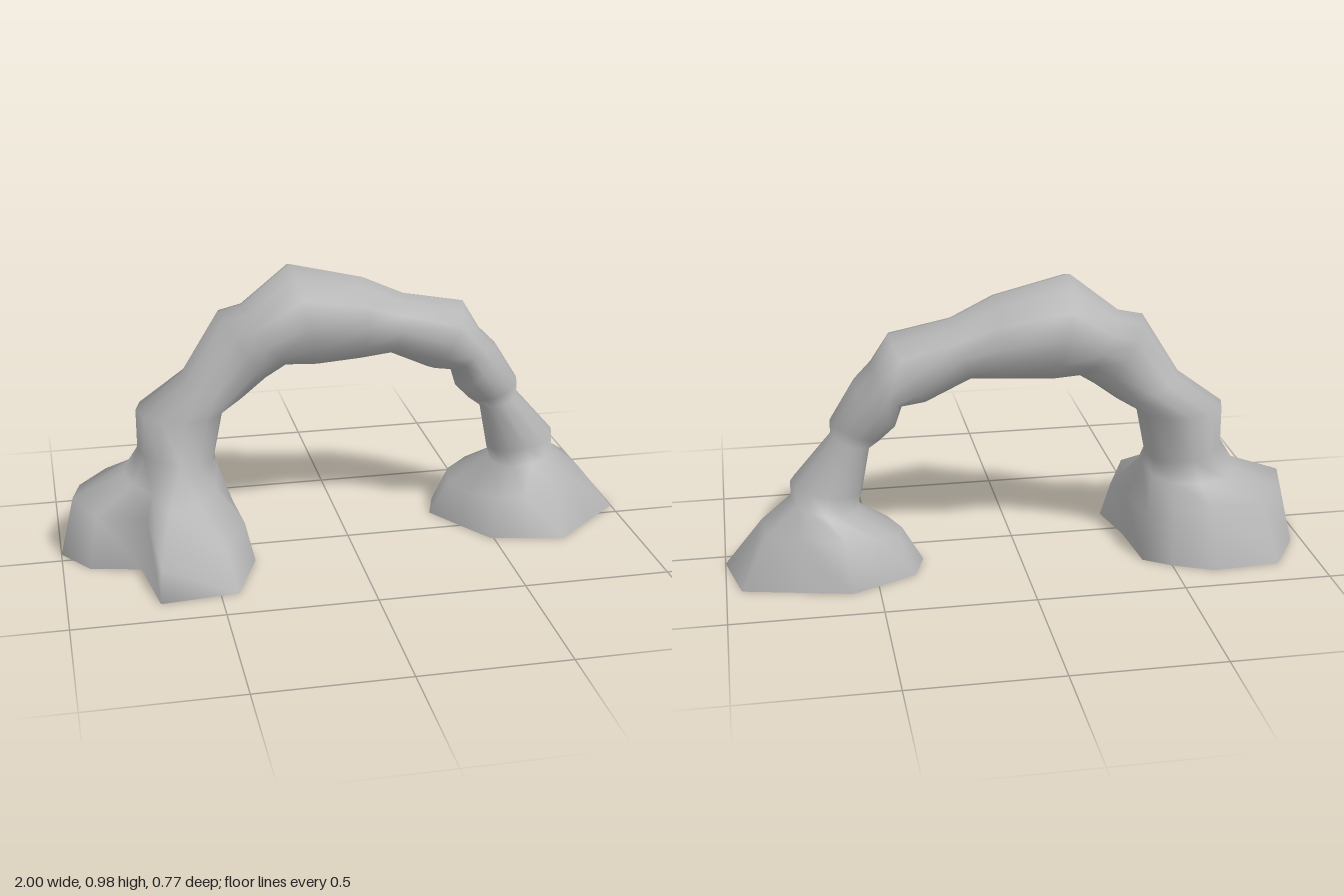
import * as THREE from 'three';

const SIDES = 12;

// Every ring runs: outer edge, front, inner edge, back.
const ring = (ox, oy, ix, iy, zBack, zFront) => Array.from({ length: SIDES }, (_, j) => {
  const a = (j / SIDES) * Math.PI * 2, c = Math.cos(a);
  return [
    (ox + ix) / 2 + (ox - ix) / 2 * c,
    (oy + iy) / 2 + (oy - iy) / 2 * c,
    (zBack + zFront) / 2 + (zFront - zBack) / 2 * Math.sin(a),
  ];
});
const ground = (outline) => outline.map(([x, z]) => [x, 0, z]);

// Two-lobed foot on the right, with a buttress reaching forward
const rightFoot = ground([
  [-1, -.05], [-.91, .08], [-.74, .12], [-.7, .385], [-.44, .36], [-.35, .13],
  [-.39, -.05], [-.41, -.27], [-.5, -.33], [-.63, -.39], [-.86, -.375], [-.96, -.21],
]);
const rightShoulder = [
  [-.95, .21, -.05], [-.88, .18, .06], [-.71, .17, .09], [-.69, .1, .34], [-.47, .13, .31], [-.38, .13, .1],
  [-.4, .15, -.05], [-.43, .15, -.25], [-.51, .17, -.29], [-.64, .2, -.32], [-.82, .2, -.31], [-.92, .2, -.18],
];
const rightNeck = [
  [-.77, .28, -.07], [-.75, .27, .02], [-.69, .25, .07], [-.64, .22, .16], [-.54, .23, .14], [-.47, .25, .05],
  [-.45, .29, -.07], [-.46, .27, -.17], [-.52, .26, -.23], [-.61, .26, -.25], [-.7, .27, -.24], [-.75, .28, -.17],
];

// Flared foot on the left
const leftShoulder = [
  [.87, .165, -.07], [.82, .16, .03], [.74, .15, .1], [.62, .14, .1], [.52, .13, .08], [.44, .12, -.02],
  [.4, .12, -.12], [.42, .13, -.22], [.5, .15, -.27], [.6, .16, -.31], [.75, .17, -.28], [.86, .17, -.22],
];
const leftFoot = ground([
  [1, -.055], [.87, .06], [.74, .175], [.62, .15], [.49, .125], [.41, 0],
  [.33, -.13], [.37, -.25], [.48, -.305], [.59, -.355], [.77, -.315], [.95, -.275],
]);

// Span: outer x, y, inner x, y, back z, front z
const span = [
  [-.72, .36, -.455, .32, -.23, .06],
  [-.72, .5, -.42, .49, -.24, .065],
  [-.56, .62, -.35, .53, -.21, .03],
  [-.43, .83, -.27, .59, -.225, .04],
  [-.35, .845, -.2, .635, -.235, .045],
  [-.18, .98, -.1, .625, -.27, .075],
  [.07, .92, .05, .635, -.24, .045],
  [.22, .85, .16, .645, -.22, .01],
  [.43, .81, .31, .575, -.24, .02],
  [.49, .71, .39, .57, -.24, .02],
  [.55, .65, .41, .5, -.235, .02],
  [.63, .52, .46, .45, -.2, 0],
  [.63, .47, .5, .42, -.18, -.02],
  [.77, .31, .53, .26, -.21, .01],
  [.77, .25, .55, .2, -.23, .02],
].map((s) => ring(...s));

// Smooth skin joined through the rings, open at both feet
function loft(rings) {
  const index = [];
  for (let i = 0; i < rings.length - 1; i++) {
    for (let j = 0; j < SIDES; j++) {
      const k = (j + 1) % SIDES;
      const a = i * SIDES + j, b = i * SIDES + k, c = a + SIDES, d = b + SIDES;
      index.push(a, b, c, b, d, c);
    }
  }
  const geometry = new THREE.BufferGeometry();
  geometry.setAttribute('position', new THREE.Float32BufferAttribute(rings.flat(2), 3));
  geometry.setIndex(index);
  geometry.computeVertexNormals();
  return geometry;
}

export function createModel() {
  const stone = new THREE.MeshStandardMaterial({ color: 0xb4b4b4, side: THREE.DoubleSide });
  stone.name = 'grey stone';
  const arch = new THREE.Mesh(
    loft([rightFoot, rightShoulder, rightNeck, ...span, leftShoulder, leftFoot]), stone);
  arch.name = 'rockArch';
  const model = new THREE.Group();
  model.name = 'naturalArch';
  model.add(arch);
  return model;
}
